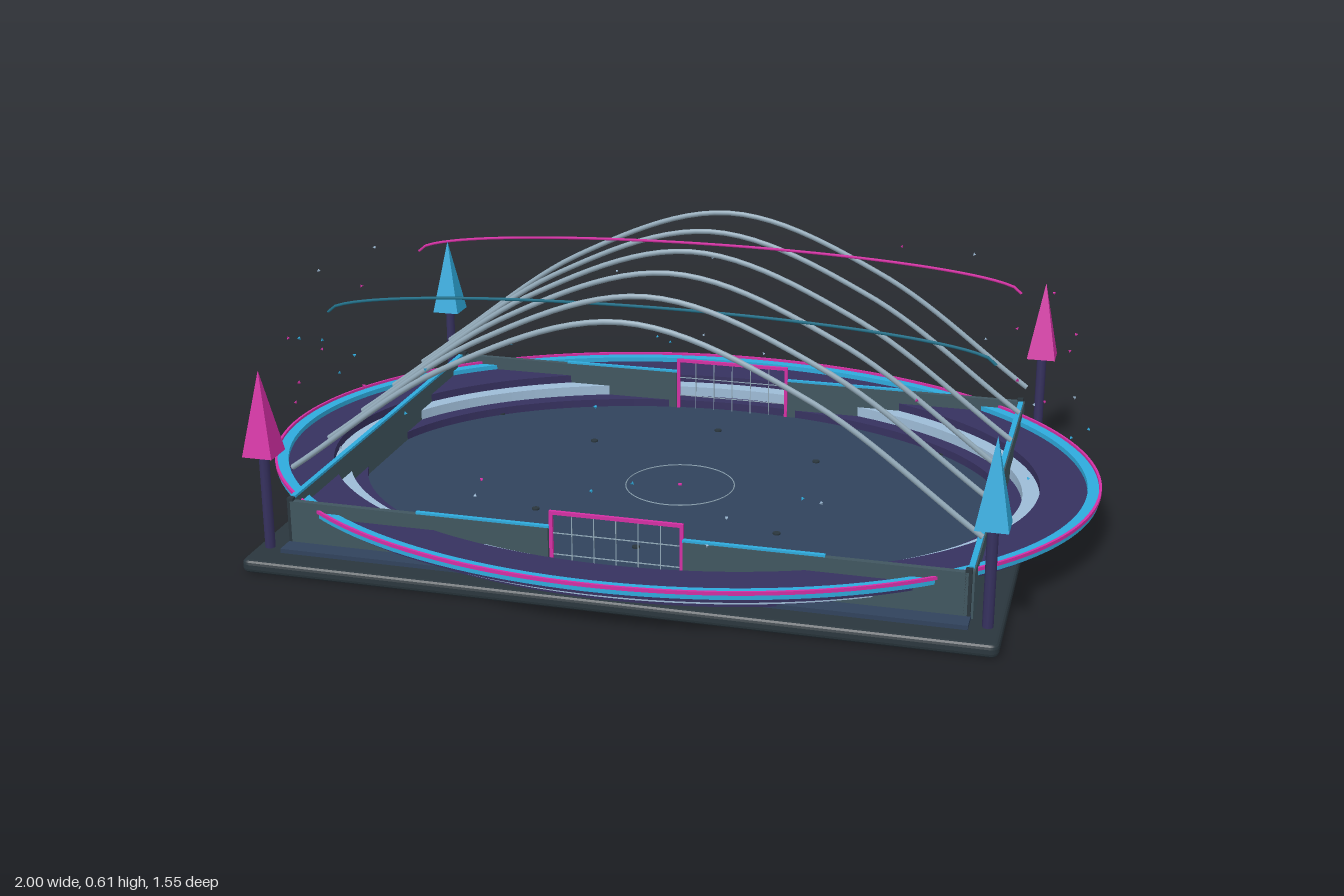
import * as THREE from 'three';

const mat = (color) => new THREE.MeshStandardMaterial({ color, side: THREE.DoubleSide });
const CYAN = mat(0x2eaadc), MAGENTA = mat(0xd42fa4), PURPLE = mat(0x36315f), PALE = mat(0x9dbbd6);
const SLATE = mat(0x2a363d), WALL = mat(0x40565f), TURF = mat(0x30425c), STEEL = mat(0x8fa6b5), TEAL = mat(0x1f6f88);

export function createModel() {
  const root = new THREE.Group();
  root.name = 'arena';

  const add = (name, geometry, material, x = 0, y = 0, z = 0, parent = root) => {
    const mesh = new THREE.Mesh(geometry, material);
    mesh.name = name;
    mesh.position.set(x, y, z);
    parent.add(mesh);
    return mesh;
  };
  const box = (name, w, h, d, material, x, y, z, parent) =>
    add(name, new THREE.BoxGeometry(w, h, d), material, x, y, z, parent);

  // Oval ring lying flat; the depth radius is always 0.225 less than the width radius
  const ovalRing = (name, inner, outer, y, height, material) => {
    const shape = new THREE.Shape().absellipse(0, 0, outer, outer - 0.225, 0, Math.PI * 2);
    shape.holes.push(new THREE.Path().absellipse(0, 0, inner, inner - 0.225, 0, Math.PI * 2, true));
    const geo = new THREE.ExtrudeGeometry(shape, { depth: height, bevelEnabled: false, curveSegments: 72 });
    geo.rotateX(-Math.PI / 2);
    return add(name, geo, material, 0, y, 0);
  };

  // Base slab with softened edges
  const slab = new THREE.Shape();
  const w = 0.83, d = 0.65, r = 0.01;
  slab.moveTo(-w + r, -d).lineTo(w - r, -d).quadraticCurveTo(w, -d, w, -d + r)
    .lineTo(w, d - r).quadraticCurveTo(w, d, w - r, d)
    .lineTo(-w + r, d).quadraticCurveTo(-w, d, -w, d - r)
    .lineTo(-w, -d + r).quadraticCurveTo(-w, -d, -w + r, -d);
  const slabGeo = new THREE.ExtrudeGeometry(slab, { depth: 0.01, bevelThickness: 0.01, bevelSize: 0.01, bevelSegments: 3 });
  slabGeo.rotateX(-Math.PI / 2);
  add('base', slabGeo, SLATE, 0, 0.01, 0);

  // Playing field with its markings and pads
  box('field', 1.54, 0.012, 1.2, TURF, 0, 0.034, 0);
  const circle = add('centreCircle', new THREE.TorusGeometry(0.132, 0.0015, 4, 48), STEEL, 0, 0.041, 0);
  circle.rotation.x = Math.PI / 2;
  add('centreSpot', new THREE.CylinderGeometry(0.005, 0.005, 0.003, 10), MAGENTA, 0, 0.0415, 0);
  for (const sz of [-1, 1]) {
    for (const [x, z] of [[-0.59, 0.37], [-0.29, 0.235], [0, 0.39], [0.29, 0.235], [0.59, 0.37]]) {
      add('fieldPad', new THREE.CylinderGeometry(0.009, 0.009, 0.004, 10), SLATE, x, 0.042, z * sz);
    }
  }

  // Stepped oval stands with a glowing rim
  ovalRing('lowerStand', 0.78, 0.885, 0.035, 0.025, PURPLE);
  ovalRing('middleStand', 0.82, 0.925, 0.06, 0.025, PALE);
  ovalRing('upperStand', 0.86, 0.97, 0.085, 0.02, PURPLE);
  ovalRing('rimBand', 0.968, 0.997, 0.104, 0.013, CYAN);
  ovalRing('rimEdge', 0.994, 1.0, 0.115, 0.008, MAGENTA);

  // Perimeter walls: full on the sides, split by a goal at the front and back
  for (const s of [-1, 1]) {
    box('sideWall', 0.014, 0.108, 1.09, WALL, s * 0.767, 0.084, 0);
    box('sideWallTrim', 0.012, 0.006, 1.06, CYAN, s * 0.765, 0.14, 0);
    for (const e of [-1, 1]) {
      box('endWall', 0.61, 0.108, 0.014, WALL, e * 0.457, 0.084, s * 0.548);
      box('endWallTrim', 0.31, 0.006, 0.01, CYAN, e * 0.305, 0.14, s * 0.548);
      box('cornerPost', 0.014, 0.115, 0.014, SLATE, e * 0.762, 0.0875, s * 0.548);
    }

    // Goal frame and net bars
    const goal = new THREE.Group();
    goal.name = s > 0 ? 'frontGoal' : 'backGoal';
    goal.position.z = s * 0.545;
    root.add(goal);
    for (const e of [-1, 1]) box('goalPost', 0.008, 0.135, 0.008, MAGENTA, e * 0.147, 0.1075, 0, goal);
    box('goalBar', 0.302, 0.008, 0.008, MAGENTA, 0, 0.173, 0, goal);
    for (let i = -2; i <= 2; i++) box('netBar', 0.002, 0.13, 0.002, STEEL, i * 0.05, 0.105, 0, goal);
    for (const y of [0.075, 0.125]) box('netCrossBar', 0.29, 0.002, 0.002, STEEL, 0, y, 0, goal);
  }

  // Roof arches
  const archPath = new THREE.CatmullRomCurve3(
    [[-0.78, 0.195], [-0.4, 0.465], [0, 0.6], [0.4, 0.465], [0.78, 0.195]].map(([x, y]) => new THREE.Vector3(x, y, 0)));
  for (let i = 0; i < 6; i++) {
    add('roofArch', new THREE.TubeGeometry(archPath, 48, 0.0065, 8), STEEL, 0, 0, (i - 2.5) * 0.197);
  }

  // Two thin light strands, each a shallow half ellipse
  const strandPoints = Array.from({ length: 25 }, (_, i) => {
    const a = Math.PI * (1 - i / 24);
    return new THREE.Vector3(0.77 * Math.cos(a), 0.502 + 0.07 * Math.sin(a), 0);
  });
  const strandPath = new THREE.CatmullRomCurve3(strandPoints);
  for (const s of [-1, 1]) {
    add('lightStrand', new THREE.TubeGeometry(strandPath, 64, 0.0035, 6), s > 0 ? TEAL : MAGENTA, 0, 0, s * 0.28);
  }

  // Corner pylons with pyramid beacons, colours alternating
  for (const sx of [-1, 1]) for (const sz of [-1, 1]) {
    const pylon = new THREE.Group();
    pylon.name = 'cornerPylon';
    pylon.position.set(sx * 0.808, 0, sz * 0.573);
    root.add(pylon);
    add('pylonPost', new THREE.CylinderGeometry(0.012, 0.012, 0.23, 8), PURPLE, 0, 0.143, 0, pylon);
    const beaconMat = (sx * sz > 0 ? CYAN : MAGENTA).clone();
    beaconMat.flatShading = true;
    const beacon = add('pylonBeacon', new THREE.ConeGeometry(0.05, 0.195, 4), beaconMat, 0, 0.353, 0, pylon);
    beacon.rotation.y = Math.PI / 4;
  }

  // Drifting specks around the stands
  let seed = 7;
  const rand = () => (seed = (seed * 16807) % 2147483647) / 2147483647;
  const specks = new THREE.Group();
  specks.name = 'specks';
  root.add(specks);
  for (let i = 0; i < 50; i++) {
    const a = rand() * Math.PI * 2, k = 0.85 + rand() * 0.12;
    const speck = add('speck', new THREE.TetrahedronGeometry(0.005), [CYAN, MAGENTA, PALE][i % 3],
      Math.cos(a) * k, 0.17 + rand() * 0.36, Math.sin(a) * (k - 0.225), specks);
    speck.rotation.set(rand() * 3, rand() * 3, 0);
  }
  return root;
}
